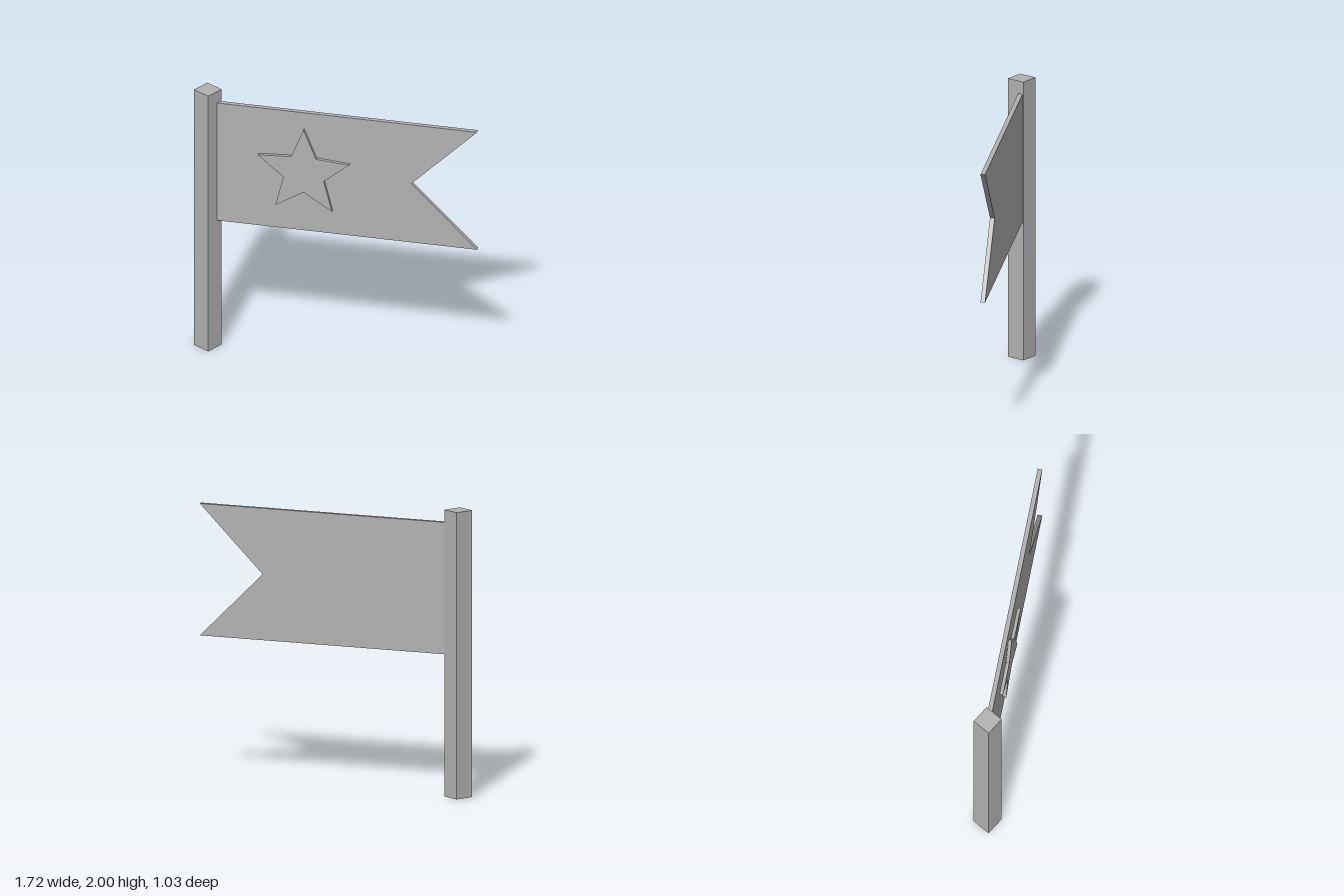
import * as THREE from 'three';

// Extrude an outline of [x, y] points from z = back to z = front
function plate(points, back, front) {
  const shape = new THREE.Shape(points.map(([x, y]) => new THREE.Vector2(x, y)));
  const geometry = new THREE.ExtrudeGeometry(shape, { depth: front - back, bevelEnabled: false });
  return geometry.translate(0, 0, back);
}

// Five-pointed star outline, one point up
function starOutline(cx, cy, outer, inner) {
  return Array.from({ length: 10 }, (_, i) => {
    const angle = Math.PI / 2 + (i * Math.PI) / 5;
    const r = i % 2 ? inner : outer;
    return [cx + r * Math.cos(angle), cy + r * Math.sin(angle)];
  });
}

export function createModel() {
  const grey = new THREE.MeshStandardMaterial({ color: 0xb2b2b2 });
  grey.name = 'grey';

  const model = new THREE.Group();
  model.name = 'flagOnPole';

  const add = (parent, name, geometry) => {
    const mesh = new THREE.Mesh(geometry, grey);
    mesh.name = name;
    parent.add(mesh);
    return mesh;
  };

  // Square pole
  const poleX = -0.79, poleZ = 0.447;
  add(model, 'pole', new THREE.BoxGeometry(0.135, 2, 0.135)).position.set(poleX, 1, poleZ);

  // Flag swings back 30 degrees around the pole
  const banner = new THREE.Group();
  banner.name = 'banner';
  banner.position.set(poleX, 0, poleZ);
  banner.rotation.y = Math.PI / 6;
  model.add(banner);

  // Swallow-tailed cloth, its near end buried in the pole
  const cloth = [[0, 0.99], [1.895, 0.99], [1.433, 1.45], [1.895, 1.91], [0, 1.91]];
  add(banner, 'cloth', plate(cloth, -0.018, 0.014));

  // Raised star on the front face only
  add(banner, 'star', plate(starOutline(0.681, 1.448, 0.338, 0.149), 0.01, 0.037));

  return model;
}
